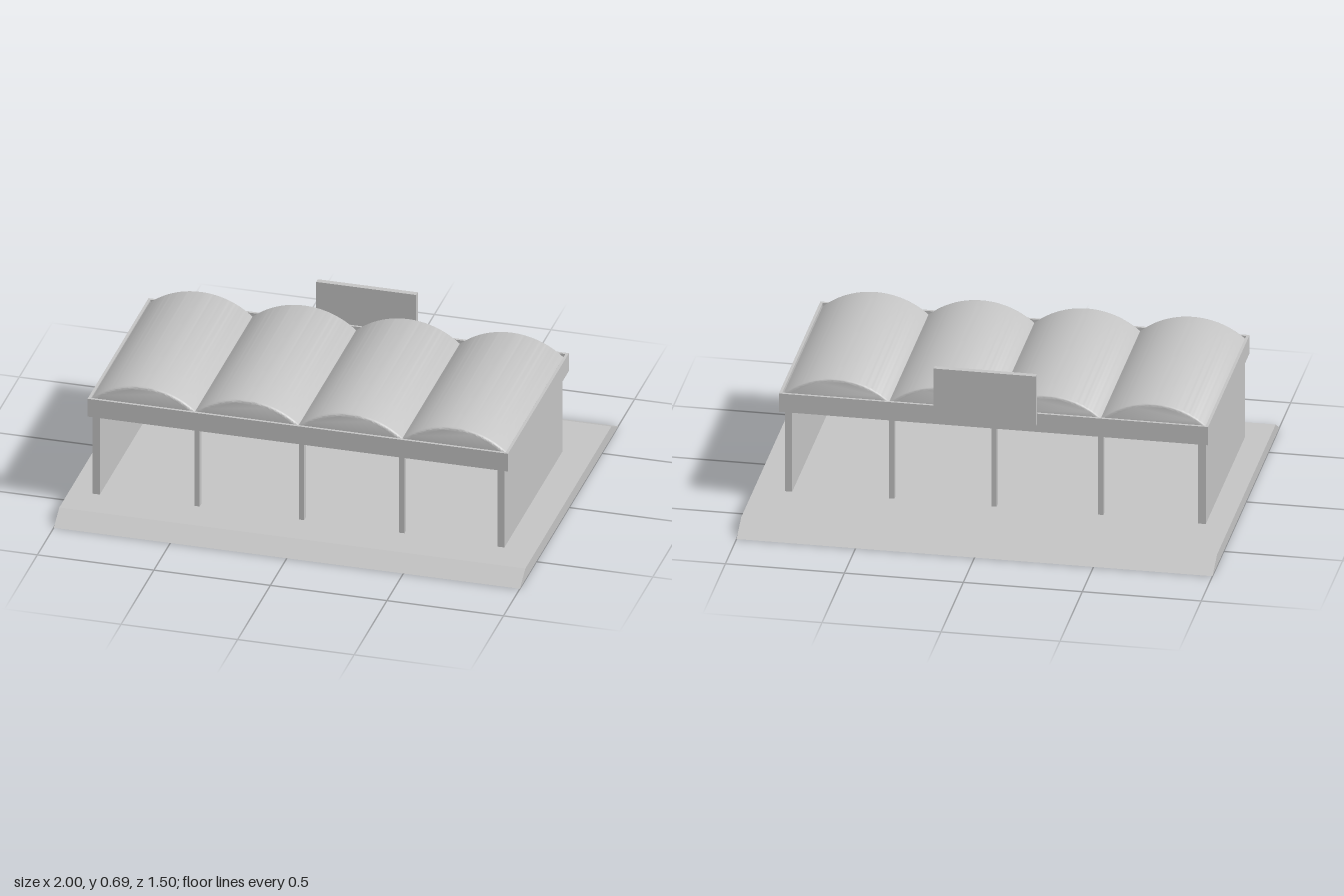
import * as THREE from 'three';
import { toCreasedNormals } from 'three/addons/utils/BufferGeometryUtils.js';

export function createModel() {
  const model = new THREE.Group();
  const grey = new THREE.MeshStandardMaterial({ color: 0xc4c4c4, side: THREE.DoubleSide });
  grey.name = 'concreteGrey';

  const add = (name, geometry) => {
    const mesh = new THREE.Mesh(geometry, grey);
    mesh.name = name;
    model.add(mesh);
    return mesh;
  };
  // Box given by its limits on each axis
  const box = (name, x0, x1, y0, y1, z0, z1) =>
    add(name, new THREE.BoxGeometry(x1 - x0, y1 - y0, z1 - z0))
      .position.set((x0 + x1) / 2, (y0 + y1) / 2, (z0 + z1) / 2);

  // Hollow platform: flat top, ramps at front and back, upright ends, open below
  const corners = [];
  for (const x of [-1, 1]) {
    corners.push(x, 0, 0.75, x, 0.052, 0.665, x, 0.052, -0.645, x, 0, -0.75);
  }
  const shell = new THREE.BufferGeometry();
  shell.setAttribute('position', new THREE.Float32BufferAttribute(corners, 3));
  const quads = [[0, 4, 5, 1], [1, 5, 6, 2], [2, 6, 7, 3], [0, 1, 2, 3], [4, 7, 6, 5]];
  shell.setIndex(quads.flatMap(([a, b, c, d]) => [a, b, c, a, c, d]));
  const platform = shell.toNonIndexed();
  platform.computeVertexNormals();
  add('platform', platform);

  // Solid end walls
  box('rightWall', -0.9, -0.868, 0.056, 0.425, -0.367, 0.517);
  box('leftWall', 0.838, 0.868, 0.056, 0.425, -0.367, 0.517);

  // Slim columns along the open front and back
  for (const x of [-0.455, -0.007, 0.423]) {
    for (const z of [-0.335, 0.487]) {
      box('column', x - 0.011, x + 0.011, 0.046, 0.43, z - 0.013, z + 0.013);
    }
  }

  // Roof deck inside a thin raised fascia
  box('roofDeck', -0.905, 0.88, 0.426, 0.49, -0.38, 0.53);
  const rim = 0.012, X0 = -0.914, X1 = 0.89, Z0 = -0.389, Z1 = 0.54;
  box('fasciaRight', X0, X0 + rim, 0.425, 0.508, Z0, Z1);
  box('fasciaLeft', X1 - rim, X1, 0.425, 0.508, Z0, Z1);
  box('fasciaFront', X0 + rim, X1 - rim, 0.425, 0.508, Z1 - rim, Z1);
  box('fasciaBack', X0 + rim, X1 - rim, 0.425, 0.508, Z0, Z0 + rim);

  // Barrel vaults with softened end edges
  const bevel = 0.012, half = 0.222 - bevel, base = 0.495, rise = 0.584 - bevel - base;
  const radius = (half * half + rise * rise) / (2 * rise);
  const angle = Math.asin(half / radius);
  const profile = new THREE.Shape();
  profile.moveTo(-half, base - 0.008);
  profile.lineTo(half, base - 0.008);
  profile.absarc(0, base + rise - radius, radius, Math.PI / 2 - angle, Math.PI / 2 + angle, false);
  const back = -0.37, front = 0.52;
  const vault = toCreasedNormals(new THREE.ExtrudeGeometry(profile, {
    depth: front - back - 2 * bevel, curveSegments: 28,
    bevelEnabled: true, bevelSize: bevel, bevelThickness: bevel, bevelSegments: 4,
  }), 0.6);
  for (let i = 0; i < 4; i++) {
    add('roofVault', vault).position.set(-0.682 + i * 0.4447, 0, back + bevel);
  }

  // Blank sign board on the back of the roof
  box('signBoard', -0.194, 0.235, 0.46, 0.687, -0.412, -0.387);

  return model;
}
